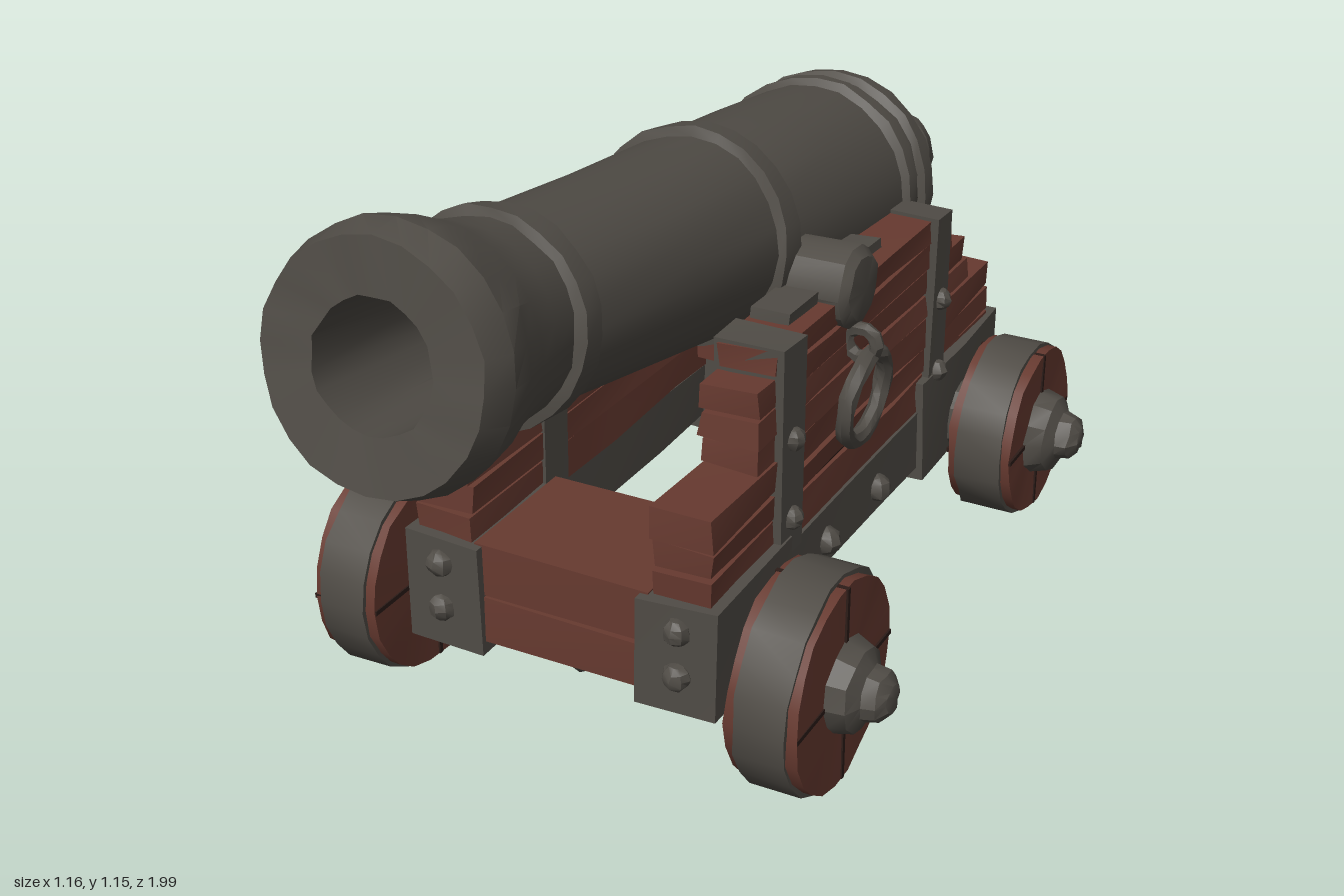
import * as THREE from 'three';
import { mergeVertices, toCreasedNormals } from 'three/addons/utils/BufferGeometryUtils.js';

const iron = new THREE.MeshStandardMaterial({ color: 0x504c46 });
iron.name = 'iron';
const wood = new THREE.MeshStandardMaterial({ color: 0x673a30 });
wood.name = 'wood';
const seam = new THREE.MeshStandardMaterial({ color: 0x2c1c18 });
seam.name = 'dark seam';

// Small seeded random for a hand-hewn surface
let seed = 7;
const rnd = () => {
  seed = (seed * 16807) % 2147483647;
  return seed / 2147483647 - 0.5;
};

function rough(geometry, amount, crease = 0.5) {
  geometry.deleteAttribute('normal');
  geometry.deleteAttribute('uv');
  const g = mergeVertices(geometry, 1e-4);
  const p = g.attributes.position;
  for (let i = 0; i < p.count; i++) {
    p.setXYZ(i, p.getX(i) + rnd() * amount, p.getY(i) + rnd() * amount, p.getZ(i) + rnd() * amount);
  }
  return toCreasedNormals(g, crease);
}

function add(parent, name, geometry, material, x = 0, y = 0, z = 0) {
  const m = new THREE.Mesh(geometry, material);
  m.name = name;
  m.position.set(x, y, z);
  parent.add(m);
  return m;
}

// Box given by its minimum and maximum on each axis
function block(parent, name, material, x0, x1, y0, y1, z0, z1, amount = 0.006) {
  const segs = Math.max(1, Math.round((z1 - z0) / 0.25));
  const g = rough(new THREE.BoxGeometry(x1 - x0, y1 - y0, z1 - z0, 1, 1, segs), amount);
  return add(parent, name, g, material, (x0 + x1) / 2, (y0 + y1) / 2, (z0 + z1) / 2);
}

// Same box on the side given by s
function sideBlock(parent, name, material, s, x0, x1, ...rest) {
  return s > 0
    ? block(parent, name, material, x0, x1, ...rest)
    : block(parent, name, material, -x1, -x0, ...rest);
}

function bolt(parent, x, y, z, r = 0.025) {
  const b = add(parent, 'bolt', rough(new THREE.SphereGeometry(r, 8, 6), 0.003), iron, x, y, z);
  return b;
}

function lathe(points, sides, amount, crease) {
  return rough(new THREE.LatheGeometry(points.map(([r, y]) => new THREE.Vector2(r, y)), sides), amount, crease);
}

function makeBarrel() {
  const barrel = new THREE.Group();
  barrel.name = 'barrel';
  // Breech ball, dome, reinforcing bands, flared muzzle and bore
  const profile = [
    [0, -1.0], [0.055, -0.985], [0.09, -0.95], [0.1, -0.905], [0.09, -0.86], [0.068, -0.83],
    [0.1, -0.8], [0.15, -0.755], [0.19, -0.69], [0.21, -0.63],
    [0.222, -0.62], [0.224, -0.58], [0.211, -0.57], [0.211, -0.54], [0.223, -0.53], [0.222, -0.5], [0.207, -0.49],
    [0.2, -0.25], [0.19, -0.035], [0.203, -0.03], [0.203, 0.025], [0.186, 0.03],
    [0.174, 0.3], [0.163, 0.63], [0.18, 0.635], [0.18, 0.68], [0.163, 0.685],
    [0.17, 0.75], [0.186, 0.82], [0.204, 0.88], [0.212, 0.93], [0.195, 0.985],
    [0.105, 0.98], [0.1, 0.8], [0.1, 0.3], [0, 0.3],
  ];
  add(barrel, 'barrelBody', lathe(profile, 24, 0.005, 0.45), iron);
  barrel.position.y = 0.81;
  barrel.rotation.x = Math.PI / 2 - 0.149;
  return barrel;
}

function makeWheel(name, s, y, z, r) {
  const wheel = new THREE.Group();
  wheel.name = name;
  const disc = (radius, w) => rough(new THREE.CylinderGeometry(radius, radius, w, 22), 0.006);
  add(wheel, 'woodenDisc', disc(r - 0.006, 0.13), wood);
  add(wheel, 'ironTyre', disc(r + 0.002, 0.095), iron);
  // Joints between the wooden quarters
  add(wheel, 'joint', new THREE.BoxGeometry(2 * r - 0.016, 0.136, 0.009), seam);
  add(wheel, 'joint', new THREE.BoxGeometry(0.009, 0.136, 2 * r - 0.016), seam);
  // Axle stub and stepped hub
  const hub = [
    [0, -0.13], [0.07, -0.13], [0.07, -0.06], [0.07, 0.06], [0.088, 0.065], [0.078, 0.1],
    [0.05, 0.115], [0.045, 0.14], [0.025, 0.155], [0, 0.16],
  ];
  add(wheel, 'hub', lathe(hub, 12, 0.006, 0.5), iron);
  wheel.position.set(s * 0.418, y, z);
  wheel.rotation.z = -s * Math.PI / 2;
  return wheel;
}

function makeCheek(s) {
  const cheek = new THREE.Group();
  cheek.name = s > 0 ? 'leftCheek' : 'rightCheek';
  // Stepped stack of planks: bottom, top, back, front
  const planks = [
    [0.34, 0.415, -0.77, 0.48], [0.42, 0.47, -0.78, 0.475], [0.475, 0.535, -0.77, 0.485],
    [0.54, 0.585, -0.64, 0.31], [0.59, 0.635, -0.62, 0.315], [0.64, 0.69, -0.54, 0.31],
    [0.695, 0.74, -0.48, 0.25],
  ];
  planks.forEach(([y0, y1, z0, z1]) => sideBlock(cheek, 'plank', wood, s, 0.18, 0.292, y0, y1, z0, z1, 0.01));
  sideBlock(cheek, 'plankGaps', seam, s, 0.19, 0.282, 0.35, 0.53, -0.76, 0.465, 0);
  sideBlock(cheek, 'plankGaps', seam, s, 0.19, 0.282, 0.53, 0.72, -0.46, 0.24, 0);
  // Iron side beam and corner brackets
  sideBlock(cheek, 'sideBeam', iron, s, 0.185, 0.298, 0.22, 0.34, -0.43, 0.22);
  sideBlock(cheek, 'frontBracket', iron, s, 0.157, 0.31, 0.155, 0.37, 0.21, 0.5, 0.01);
  sideBlock(cheek, 'rearBracket', iron, s, 0.157, 0.31, 0.19, 0.41, -0.8, -0.4, 0.01);
  // Vertical straps with bolts, folded over the top edge
  [[0.165, 0.245], [-0.5, -0.43]].forEach(([z0, z1]) => {
    sideBlock(cheek, 'strap', iron, s, 0.172, 0.306, 0.335, 0.745, z0, z1);
    [0.41, 0.565].forEach((y) => bolt(cheek, s * 0.307, y, (z0 + z1) / 2, 0.022));
  });
  [0.03, -0.2].forEach((z) => bolt(cheek, s * 0.298, 0.27, z, 0.028));
  [0.23, 0.32].forEach((y) => {
    bolt(cheek, s * 0.237, y, 0.5, 0.026);
    bolt(cheek, s * 0.237, y + 0.03, -0.8, 0.026);
  });
  // Trunnion and its saddle pieces
  const pin = [[0, 0], [0.078, 0], [0.078, 0.2], [0.06, 0.215], [0, 0.22]];
  const trunnion = add(cheek, 'trunnion', lathe(pin, 14, 0.006, 0.5), iron, s * 0.1, 0.745, -0.06);
  trunnion.rotation.z = -s * Math.PI / 2;
  [[-0.26, -0.15], [0.02, 0.13]].forEach(([z0, z1]) => {
    sideBlock(cheek, 'saddle', iron, s, 0.185, 0.26, 0.73, 0.758, z0, z1);
  });
  // Hanging ring and eye
  const eye = add(cheek, 'ringEye', rough(new THREE.TorusGeometry(0.03, 0.014, 6, 10), 0.004), iron, s * 0.315, 0.64, -0.058);
  eye.rotation.x = 0.1;
  const ring = add(cheek, 'sideRing', rough(new THREE.TorusGeometry(0.085, 0.017, 7, 18), 0.005), iron, s * 0.325, 0.535, -0.058);
  ring.rotation.y = Math.PI / 2;
  ring.rotation.order = 'ZYX';
  ring.rotation.z = -s * 0.1;
  return cheek;
}

export function createModel() {
  const model = new THREE.Group();
  model.name = 'cannon';
  model.add(makeBarrel());

  const carriage = new THREE.Group();
  carriage.name = 'carriage';
  model.add(carriage);
  // Cross timbers at front and rear, open in the middle
  block(carriage, 'frontTimber', wood, -0.175, 0.175, 0.175, 0.265, 0.21, 0.488);
  block(carriage, 'frontTimber', wood, -0.175, 0.175, 0.268, 0.37, 0.21, 0.485);
  block(carriage, 'rearTimber', wood, -0.175, 0.175, 0.21, 0.315, -0.785, -0.42);
  block(carriage, 'rearTimber', wood, -0.175, 0.175, 0.318, 0.375, -0.785, -0.42);
  for (let i = 0; i < 3; i++) {
    block(carriage, 'rearBedPlank', wood, -0.185, 0.185, 0.37, 0.425, -0.775 + i * 0.14, -0.64 + i * 0.14);
  }

  for (const s of [1, -1]) {
    carriage.add(makeCheek(s));
    const side = s > 0 ? 'Left' : 'Right';
    model.add(makeWheel('front' + side + 'Wheel', s, 0.205, 0.355, 0.2));
    model.add(makeWheel('rear' + side + 'Wheel', s, 0.256, -0.6, 0.177));
  }

  // Towing rings under the front and behind the rear
  const tow = (name, y, z) => {
    const t = add(carriage, name, rough(new THREE.TorusGeometry(0.042, 0.016, 6, 9), 0.006), iron, 0, y, z);
    t.rotation.y = Math.PI / 2;
  };
  tow('frontTowRing', 0.172, 0.4);
  tow('rearTowRing', 0.222, -0.878);
  block(carriage, 'towEye', iron, -0.015, 0.015, 0.25, 0.28, -0.86, -0.77);
  return model;
}
